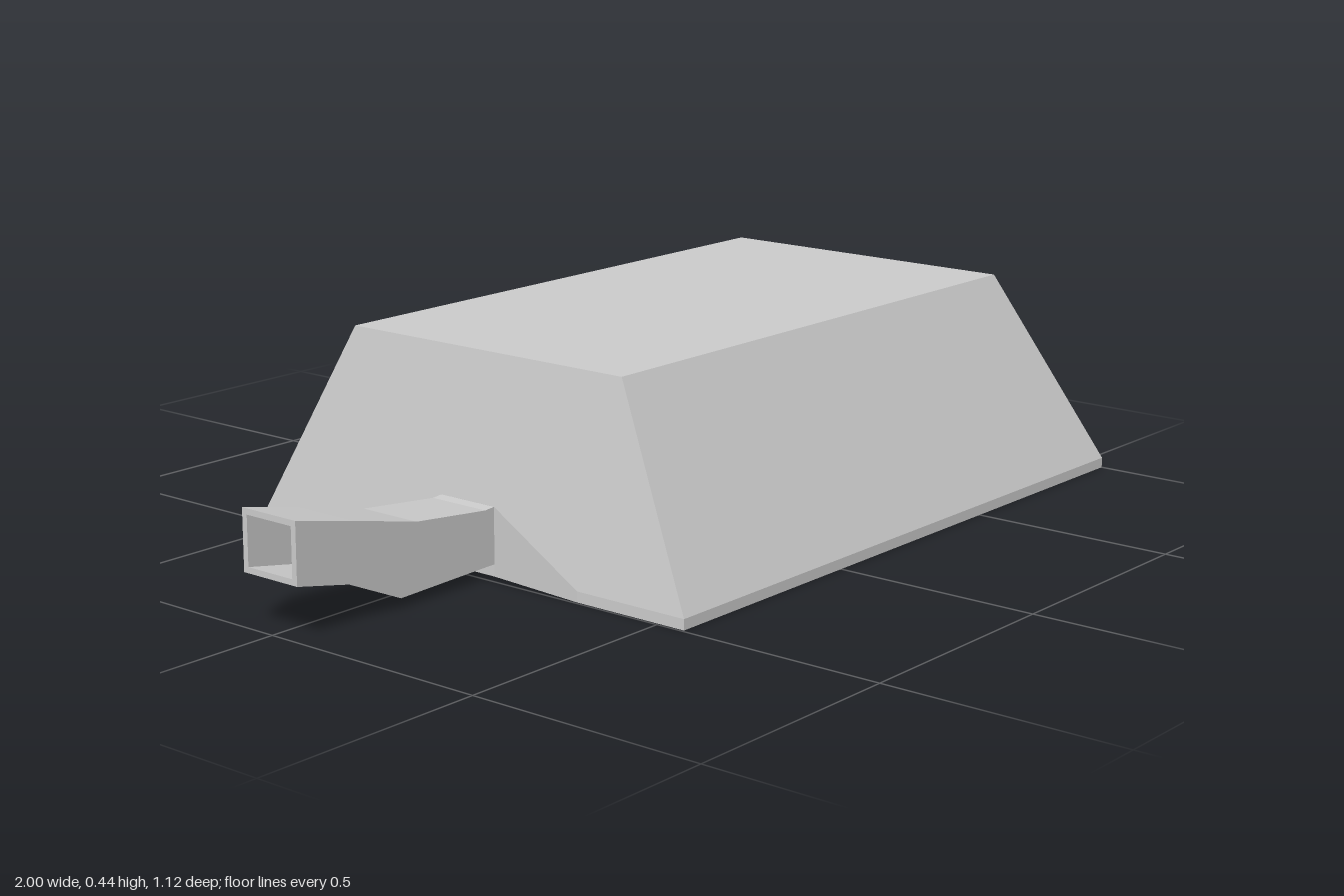
import * as THREE from 'three';

// Collects flat polygons; each is wound so that it faces the given outward direction.
class FaceBuilder {
  constructor() { this.positions = []; }
  add(outward, ...pts) {
    const p = pts.map((q) => new THREE.Vector3(...q));
    const n = p[1].clone().sub(p[0]).cross(p[2].clone().sub(p[0]));
    if (n.dot(new THREE.Vector3(...outward)) < 0) p.reverse();
    for (let i = 1; i < p.length - 1; i++)
      for (const v of [p[0], p[i], p[i + 1]]) this.positions.push(v.x, v.y, v.z);
  }
  mesh(name, material) {
    const g = new THREE.BufferGeometry();
    g.setAttribute('position', new THREE.Float32BufferAttribute(this.positions, 3));
    g.computeVertexNormals();
    const m = new THREE.Mesh(g, material);
    m.name = name;
    return m;
  }
}

// Tapered block on a thin vertical rim, with a shallow notch where the handle enters
function makeBody(material) {
  const f = new FaceBuilder();
  const x0 = -0.495, x1 = 1, zb = 0.56;
  const tx0 = -0.425, tx1 = 0.855, zt = 0.352;
  const rim = 0.022, top = 0.435;
  const notchX = -0.475, notchY = 0.142, notchZ = 0.07, notchFoot = 0.3;

  f.add([0, 1, 0], [tx0, top, -zt], [tx0, top, zt], [tx1, top, zt], [tx1, top, -zt]);
  f.add([0, -1, 0], [x0, 0, -zb], [x0, 0, zb], [x1, 0, zb], [x1, 0, -zb]);

  // Plain end
  f.add([1, 0, 0], [x1, 0, -zb], [x1, 0, zb], [x1, rim, zb], [x1, rim, -zb]);
  f.add([1, 0, 0], [x1, rim, -zb], [x1, rim, zb], [tx1, top, zt], [tx1, top, -zt]);

  // Handle end, upper middle
  f.add([-1, 0, 0], [notchX, notchY, -notchZ], [notchX, notchY, notchZ], [tx0, top, zt], [tx0, top, -zt]);
  f.add([-1, 0, 0], [notchX, 0, -notchZ], [notchX, 0, notchZ],
    [notchX, notchY, notchZ], [notchX, notchY, -notchZ]);

  for (const s of [-1, 1]) {
    // Long sides
    f.add([0, 0, s], [x0, 0, s * zb], [x1, 0, s * zb], [x1, rim, s * zb], [x0, rim, s * zb]);
    f.add([0, 0, s], [x0, rim, s * zb], [x1, rim, s * zb], [tx1, top, s * zt], [tx0, top, s * zt]);
    // Handle end, rim, wall and notch facet
    const corner = [x0, rim, s * zb], foot = [x0, rim, s * notchFoot];
    const peak = [notchX, notchY, s * notchZ];
    f.add([-1, 0, 0], [x0, 0, s * zb], [x0, 0, s * notchFoot], foot, corner);
    f.add([-1, 0, 0], corner, foot, peak, [tx0, top, s * zt]);
    f.add([-1, 0, 0], [x0, 0, s * notchFoot], [notchX, 0, s * notchZ], peak, foot);
  }
  return f.mesh('body', material);
}

// Bent square handle with a hollow end
function makeHandle(material) {
  const f = new FaceBuilder();
  const w = 0.07, wall = 0.012;
  // top x, top y, bottom x, bottom y
  const sections = [
    [-0.472, 0.142, -0.472, 0.025],
    [-0.5, 0.14, -0.5, 0.025],
    [-0.69, 0.16, -0.735, 0.02],
    [-0.86, 0.2, -0.87, 0.08],
    [-1, 0.231, -1, 0.107],
  ];
  const ring = ([tx, ty, bx, by], hw) => [[tx, ty, -hw], [tx, ty, hw], [bx, by, hw], [bx, by, -hw]];
  const dirs = [[0, 1, 0], [0, 0, 1], [0, -1, 0], [0, 0, -1]];
  const bridge = (a, b, sign) => dirs.forEach((d, k) => {
    const j = (k + 1) % 4;
    f.add(d.map((v) => v * sign), a[k], a[j], b[j], b[k]);
  });
  for (let i = 0; i < sections.length - 1; i++)
    bridge(ring(sections[i], w), ring(sections[i + 1], w), 1);

  // End lip, recess walls and recess floor
  const outer = ring(sections[4], w);
  const lip = ring([-1, 0.231 - wall, -1, 0.107 + wall], w - wall);
  const deep = ring([-0.88, 0.204 - wall, -0.88, 0.085 + wall], w - wall);
  dirs.forEach((d, k) => {
    const j = (k + 1) % 4;
    f.add([-1, 0, 0], outer[k], outer[j], lip[j], lip[k]);
  });
  bridge(lip, deep, -1);
  f.add([-1, 0, 0], ...deep);
  return f.mesh('handle', material);
}

export function createModel() {
  const material = new THREE.MeshStandardMaterial({ color: 0xcccccc });
  material.name = 'light grey';
  const model = new THREE.Group();
  model.name = 'handledBlock';
  model.add(makeBody(material), makeHandle(material));
  return model;
}
